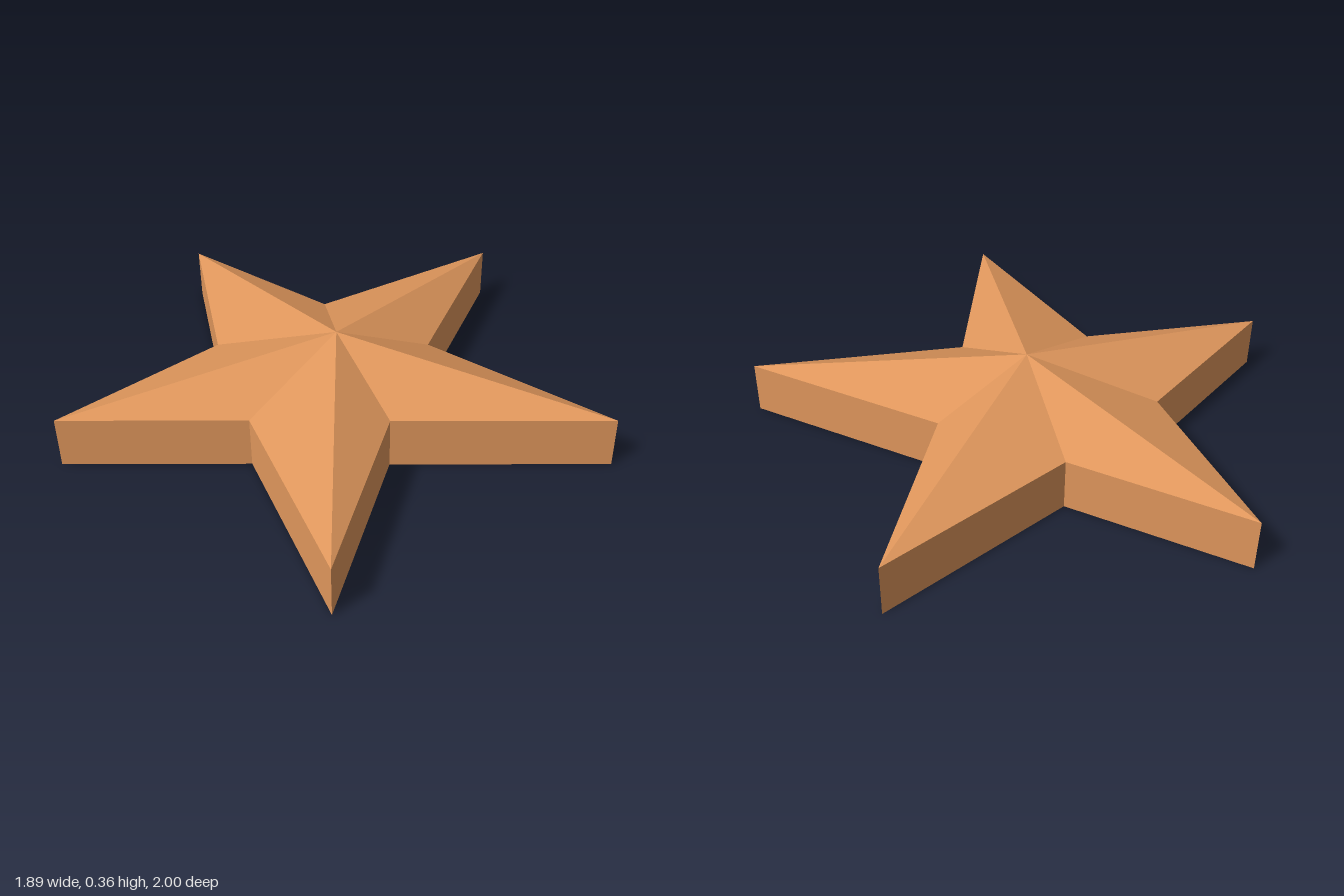
import * as THREE from 'three';

const EDGE = 0.2; // height of the rim
const PEAK = [-0.105, 0.36, 0];

// Half outline (x, z), from the +x tip round to the -x notch
const HALF = [[0.945, 0], [0.18, 0.25], [0.22, 1], [-0.295, 0.4], [-0.95, 0.615], [-0.59, 0]];
const OUTLINE = [...HALF, ...HALF.slice(1, -1).reverse().map(([x, z]) => [x, -z])];

function facets(name, triangles, material) {
  const geometry = new THREE.BufferGeometry();
  geometry.setAttribute('position', new THREE.Float32BufferAttribute(triangles.flat(), 3));
  geometry.computeVertexNormals(); // unshared corners give flat facets
  const mesh = new THREE.Mesh(geometry, material);
  mesh.name = name;
  return mesh;
}

export function createModel() {
  const group = new THREE.Group();
  group.name = 'star';
  const copper = new THREE.MeshStandardMaterial({ color: 0xe0975c, side: THREE.DoubleSide });
  copper.name = 'copper orange';

  const roof = [];
  const wall = [];
  OUTLINE.forEach(([px, pz], i) => {
    const [qx, qz] = OUTLINE[(i + 1) % OUTLINE.length];
    const pTop = [px, EDGE, pz], qTop = [qx, EDGE, qz];
    const pLow = [px, 0, pz], qLow = [qx, 0, qz];
    roof.push(PEAK, qTop, pTop);
    wall.push(pTop, qTop, pLow, qTop, qLow, pLow);
  });

  // Faceted top and upright rim; the underside is open and hollow
  group.add(facets('starTop', roof, copper), facets('starRim', wall, copper));
  return group;
}
